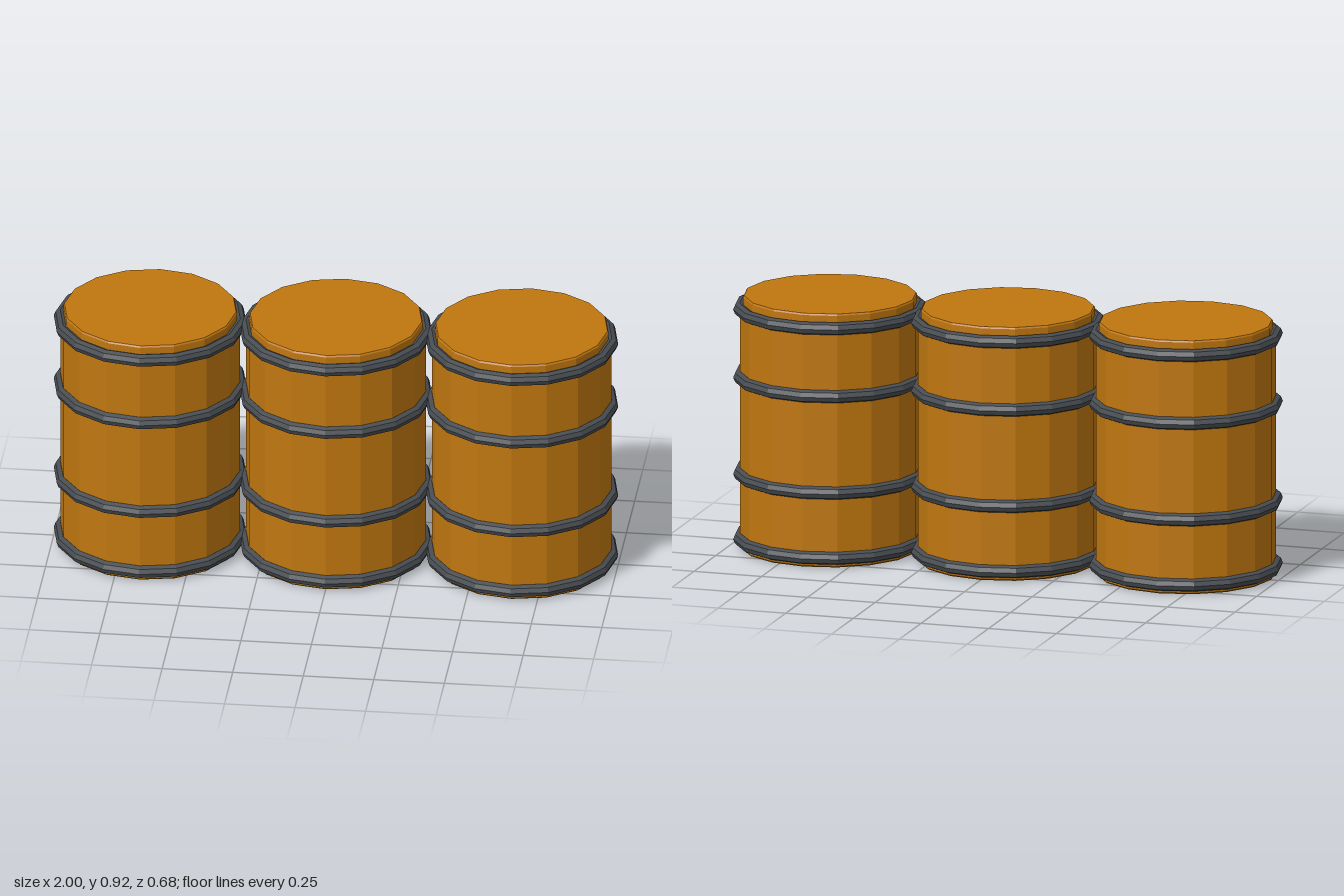
import * as THREE from 'three';

const SIDES = 16;
const SPACING = 0.658;

export function createModel() {
  const orange = new THREE.MeshStandardMaterial({ color: 0xc0770f });
  const steel = new THREE.MeshStandardMaterial({ color: 0x484d52 });
  orange.name = 'orangePaint';
  steel.name = 'darkSteel';
  orange.flatShading = true;
  steel.flatShading = true;

  // drum wall with chamfered foot and a slightly inset lid
  const profile = [
    [0, 0], [0.313, 0], [0.318, 0.005], [0.318, 0.865],
    [0.308, 0.87], [0.308, 0.909], [0.304, 0.915], [0, 0.915],
  ].map(([r, y]) => new THREE.Vector2(r, y));
  const drumGeometry = new THREE.LatheGeometry(profile, SIDES);

  // hoop lying flat around the drum
  const hoopGeometry = new THREE.TorusGeometry(0.319, 0.023, 8, SIDES);
  hoopGeometry.rotateX(Math.PI / 2);

  const model = new THREE.Group();
  model.name = 'barrelRow';

  ['rightBarrel', 'middleBarrel', 'leftBarrel'].forEach((name, i) => {
    const barrel = new THREE.Group();
    barrel.name = name;
    barrel.position.x = (i - 1) * SPACING;

    const drum = new THREE.Mesh(drumGeometry, orange);
    drum.name = 'drum';
    barrel.add(drum);

    // two rim hoops and two rolling hoops
    [['bottomHoop', 0.034], ['lowerHoop', 0.27], ['upperHoop', 0.619], ['topHoop', 0.865]]
      .forEach(([hoopName, y]) => {
        const hoop = new THREE.Mesh(hoopGeometry, steel);
        hoop.name = hoopName;
        hoop.position.y = y;
        barrel.add(hoop);
      });

    model.add(barrel);
  });

  return model;
}
